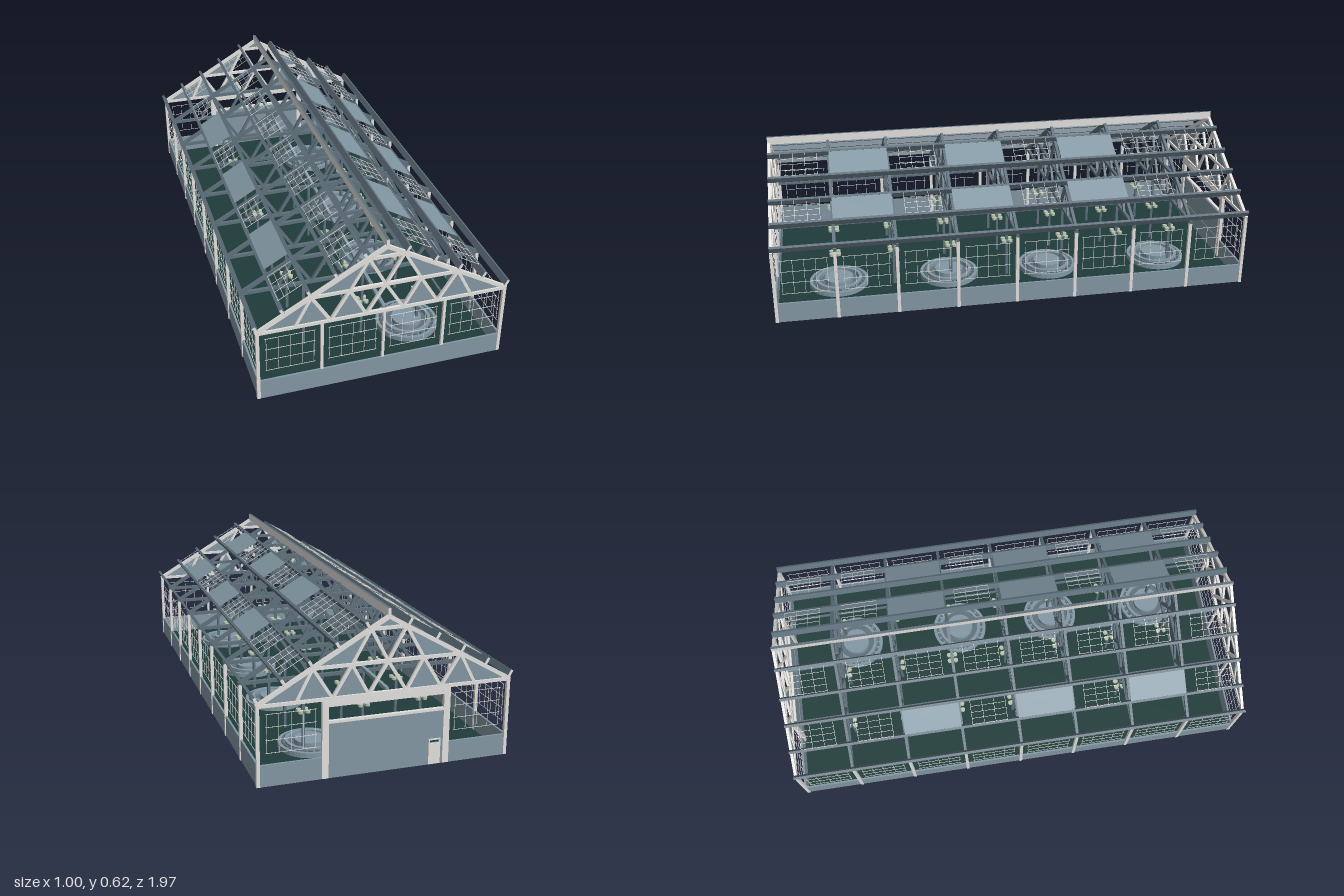
import * as THREE from 'three';

export function createModel() {
  const root = new THREE.Group();
  const mat = (name, color, side = THREE.FrontSide) => {
    const m = new THREE.MeshStandardMaterial({ color, side });
    m.name = name;
    return m;
  };
  const frame = mat('pale grey frame', 0xe4e2df);
  const blue = mat('slate blue panel', 0x8398a4, THREE.DoubleSide);
  const green = mat('dark green floor', 0x1e3b39);
  const slate = mat('dark slate steel', 0x60717d);
  const cream = mat('pale green lamp', 0xb9c6ae);

  const group = (name, parent = root) => {
    const g = new THREE.Group();
    g.name = name;
    parent.add(g);
    return g;
  };
  const add = (parent, name, geo, m, x = 0, y = 0, z = 0) => {
    const o = new THREE.Mesh(geo, m);
    o.name = name;
    o.position.set(x, y, z);
    parent.add(o);
    return o;
  };
  const box = (parent, name, m, w, h, d, x, y, z) =>
    add(parent, name, new THREE.BoxGeometry(w, h, d), m, x, y, z);

  const L = 1.97, END = 0.979, BAY = 0.2448, SLOPE = Math.PI / 6;
  const frameZ = Array.from({ length: 9 }, (_, i) => (i - 4) * BAY);
  const bayZ = Array.from({ length: 8 }, (_, i) => (i - 3.5) * BAY);
  const roofY = x => 0.585 - Math.abs(x) * Math.tan(SLOPE);

  // Floor and low perimeter walls
  box(root, 'floor', green, 0.968, 0.004, L - 0.01, 0, 0.002, 0);
  const walls = group('lowWalls');
  for (const s of [-1, 1]) {
    box(walls, 'sideWall', blue, 0.008, 0.083, L - 0.012, s * 0.482, 0.0415, 0);
    box(walls, 'endWall', blue, 0.96, 0.083, 0.008, 0, 0.0415, s * 0.981);
  }

  // Trusses, posts and interior columns: pale at the gables, dark inside
  const B = 0.303, C = 0.421, T = 0.545;
  const bottom = [0.343, 0.208, 0.072], mid = [0.282, 0.137, 0];
  frameZ.forEach((z, i) => {
    const end = i === 0 || i === 8;
    const steel = end ? frame : slate;
    const g = group('trussFrame');
    g.position.z = z;
    // straight member from a to b in the plane of the truss
    const member = (name, a, b, w = 0.013, d = 0.012) => {
      const dx = b[0] - a[0], dy = b[1] - a[1];
      const o = box(g, name, steel, Math.hypot(dx, dy), w, d, (a[0] + b[0]) / 2, (a[1] + b[1]) / 2, 0);
      o.rotation.z = Math.atan2(dy, dx);
    };
    member('bottomChord', [-0.49, B], [0.49, B]);
    member('collar', [-0.282, C], [0.282, C]);
    member('upperCollar', [-0.067, T], [0.067, T]);
    const foot = end ? 0.08 : 0.004;
    const column = (name, w, x) => box(g, name, steel, w, B - foot, w, x, (B + foot) / 2, 0);
    for (const s of [-1, 1]) {
      const web = (a, b) => member('webBrace', [s * a[0], a[1]], [s * b[0], b[1]], 0.012, 0.01);
      member('rafter', [s * 0.488, roofY(0.488)], [0, 0.585], 0.015);
      bottom.forEach((x, k) => {
        web([x, B], [mid[k], C]);
        if (k) web([x, B], [mid[k - 1], C]);
      });
      web([mid[1], C], [0.067, T]);
      web([mid[2], C], [0.067, T]);
      box(g, 'sidePost', frame, 0.013, 0.3, 0.013, s * 0.483, 0.15, 0);
      column('innerColumn', 0.011, s * 0.24);
    }
    if (i > 0) column('middleColumn', 0.01, 0);

    // Four lamp heads set diagonally around each column
    if (!end) for (const x of [-0.24, 0, 0.24]) {
      const lamp = group('columnLamp', g);
      lamp.position.set(x, 0.168, 0);
      lamp.rotation.y = Math.PI / 4;
      box(lamp, 'lampArm', cream, 0.04, 0.005, 0.006, 0, 0, 0);
      box(lamp, 'lampArm', cream, 0.006, 0.005, 0.04, 0, 0, 0);
      for (let k = 0; k < 4; k++) {
        const a = k * Math.PI / 2;
        add(lamp, 'lampHead', new THREE.CylinderGeometry(0.01, 0.01, 0.01, 12), cream,
          0.02 * Math.cos(a), 0, 0.02 * Math.sin(a));
      }
    }
  });

  // Triangular panes in both gables
  const panes = [
    [[-0.067, T], [0.067, T], [0, 0.585]],
    ...[-1, 1].flatMap(s => [
      [[0.488, B], [0.343, B], [0.282, C]],
      [[0.343, B], [0.208, B], [0.282, C]],
      [[0.208, B], [0.072, B], [0.137, C]],
      [[0.282, C], [0.137, C], [0.067, T]],
    ].map(t => t.map(([x, y]) => [s * x, y]))),
  ];
  for (const z of [-END, END]) {
    const g = group('gablePanes');
    for (const p of panes) {
      const shape = new THREE.Shape(p.map(([x, y]) => new THREE.Vector2(x, y)));
      add(g, 'gablePane', new THREE.ShapeGeometry(shape), blue, 0, 0, z);
    }
  }

  // Purlins with pale ends, ridge and lengthwise beams
  const purlins = group('purlins');
  const paleEnds = [slate, slate, slate, slate, frame, frame];
  for (const s of [-1, 1]) {
    for (const x of [0.489, 0.39, 0.29, 0.19, 0.08]) {
      const p = box(purlins, 'purlin', paleEnds, 0.011, 0.027, L, s * x, roofY(x - 0.01) + 0.016, 0);
      p.rotation.z = -s * SLOPE;
    }
    box(purlins, 'columnBeam', slate, 0.008, 0.01, L - 0.03, s * 0.24, B, 0);
  }
  box(purlins, 'ridge', [frame, frame, slate, slate, frame, frame], 0.011, 0.032, L, 0, 0.6, 0);
  box(purlins, 'centrePipe', blue, 0.013, 0.014, L - 0.02, 0, 0.313, 0);

  // Wire grid in the local xy plane: four rows and five uprights
  const WIRE = 0.0016;
  const wireGrid = (w, h, x, y, z) => {
    const g = group('wireGrid');
    g.position.set(x, y, z);
    for (let k = 0; k < 4; k++) box(g, 'wireRow', frame, w, WIRE, WIRE, 0, (k / 3 - 0.5) * h, 0);
    for (let k = 0; k < 5; k++) box(g, 'wireUpright', frame, WIRE, h, WIRE, (k / 4 - 0.5) * (w - 0.01), 0, 0);
    return g;
  };

  // Wire grids in the wall bays
  for (const s of [-1, 1]) {
    for (const z of bayZ) wireGrid(0.19, 0.146, s * 0.483, 0.197, z).rotation.y = Math.PI / 2;
    wireGrid(0.19, 0.146, s * 0.36, 0.197, END);
    wireGrid(0.19, 0.146, s * 0.12, 0.197, END);
    wireGrid(0.19, 0.146, s * 0.36, 0.197, -END);
  }

  // Roof strips: glazed in every second bay, wire grids elsewhere
  for (const [a, b, glazed] of [[-0.395, -0.295, true], [-0.19, -0.085, false], [0.085, 0.195, true], [0.295, 0.395, true]]) {
    const x = (a + b) / 2, w = (b - a) / Math.cos(SLOPE), tilt = -Math.sign(x) * SLOPE;
    bayZ.forEach((z, i) => {
      if (glazed && [2, 4, 6].includes(i)) {
        box(root, 'roofPane', blue, w, 0.0012, BAY - 0.002, x, roofY(x) + 0.036, z).rotation.z = tilt;
      } else {
        const g = wireGrid(w, 0.15, x, roofY(x) + 0.036, z);
        g.rotation.set(-Math.PI / 2, 0, tilt, 'ZYX');
      }
    });
  }

  // Rear entrance wall with its portal and small door
  const rear = group('rearEntrance');
  const corners = (x0, y0, x1, y1) => [[x0, y0], [x1, y0], [x1, y1], [x0, y1]].map(p => new THREE.Vector2(...p));
  const plate = (name, outline, depth, m, z) => {
    const shape = new THREE.Shape(corners(...outline));
    shape.holes.push(new THREE.Path(corners(-0.207, 0.085, -0.17, 0.097)));
    add(rear, name, new THREE.ExtrudeGeometry(shape, { depth, bevelEnabled: false }), m, 0, 0, z);
  };
  plate('entranceWall', [-0.225, 0, 0.225, 0.212], 0.006, blue, -0.985);
  plate('door', [-0.212, 0.002, -0.165, 0.102], 0.004, frame, -0.989);
  box(rear, 'header', frame, 0.494, 0.024, 0.014, 0, 0.285, -END);
  box(rear, 'wallRail', frame, 0.45, 0.01, 0.014, 0, 0.215, -END);
  for (const s of [-1, 1])
    box(rear, 'portalPost', frame, 0.025, 0.297, 0.014, s * 0.235, 0.1485, -END);

  // Round tiered basins
  const profile = [[0.125, 0.004], [0.125, 0.024], [0.112, 0.024], [0.112, 0.016], [0.098, 0.016],
    [0.098, 0.032], [0.085, 0.032], [0.085, 0.014], [0.06, 0.014], [0.06, 0.036], [0, 0.036]];
  const segments = 32;
  for (const z of [-0.69, -0.19, 0.25, 0.725]) {
    const g = group('roundBasin');
    g.position.set(0.2, 0, z);
    const lathe = new THREE.LatheGeometry(profile.map(p => new THREE.Vector2(...p)), segments).toNonIndexed();
    lathe.computeVertexNormals();
    add(g, 'basinTiers', lathe, blue);
    for (let k = 0; k < 24; k++) {
      const a = k * Math.PI / 12;
      const b = box(g, 'basinBlock', slate, 0.01, 0.012, 0.016, 0.105 * Math.cos(a), 0.021, 0.105 * Math.sin(a));
      b.rotation.y = -a;
    }
    const ring = add(g, 'basinTrough', new THREE.RingGeometry(0.061, 0.084, segments), slate, 0, 0.016, 0);
    ring.rotation.x = -Math.PI / 2;
  }
  return root;
}
